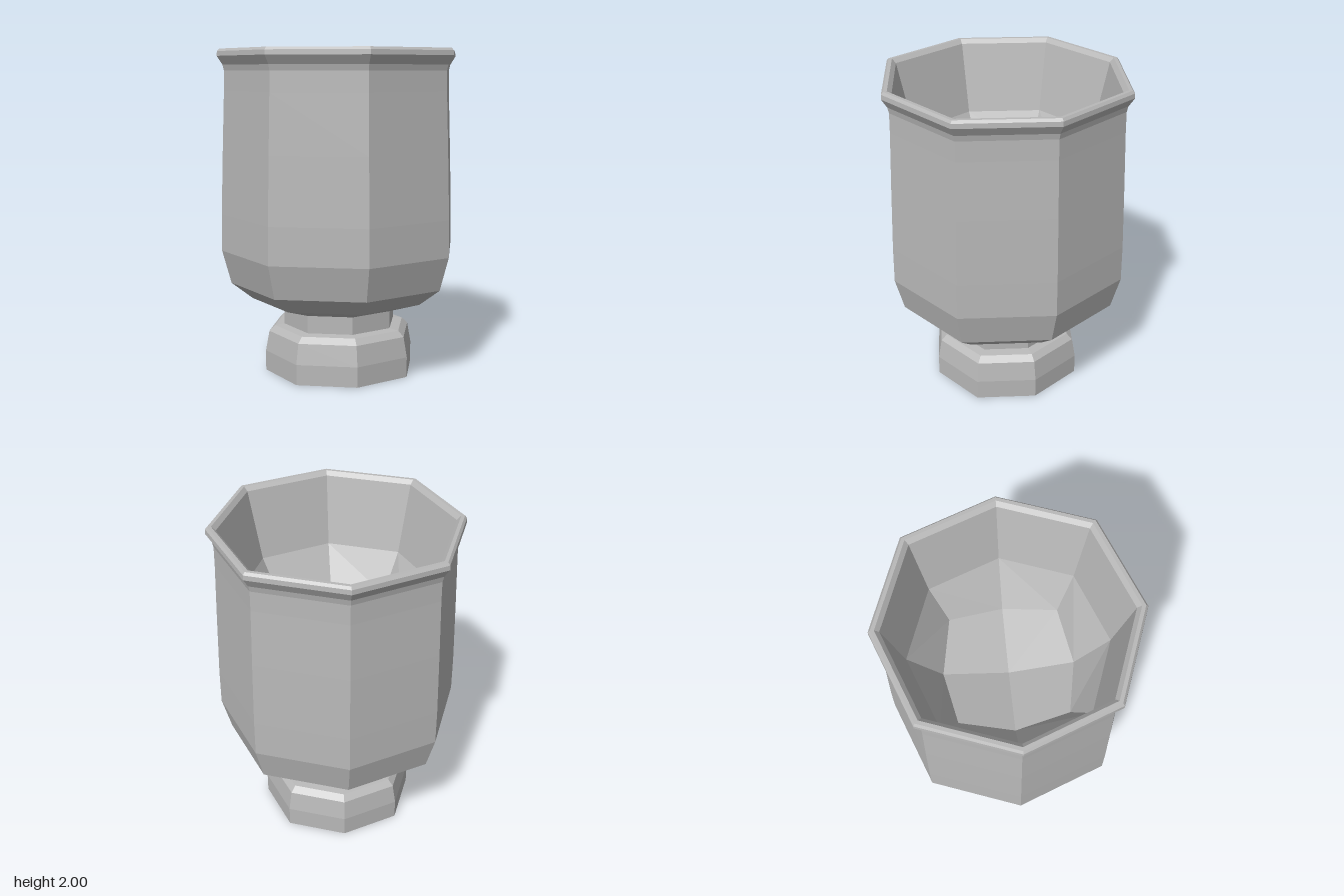
import * as THREE from 'three';

const SIDES = 8;
const DIAGONAL = 0.727 * Math.SQRT2; // diagonal corners sit slightly further out

const stone = new THREE.MeshStandardMaterial({ color: 0xb8b8b8, side: THREE.DoubleSide });
stone.name = 'grey stone';

// Faceted eight-sided ring part. Each point is [radius, y], with optional
// [diagonalRadius, diagonalY] for the corners between the axes.
function facetedPart(name, profile) {
  const points = profile.map(([r, y]) => new THREE.Vector2(r, y));
  const lathe = new THREE.LatheGeometry(points, SIDES);
  const pos = lathe.attributes.position;
  for (let side = 0; side <= SIDES; side++) {
    if (side % 2 === 0) continue;
    const angle = (side / SIDES) * Math.PI * 2;
    profile.forEach(([r, y, diagR = r * DIAGONAL, diagY = y], i) => {
      pos.setXYZ(side * profile.length + i, Math.sin(angle) * diagR, diagY, Math.cos(angle) * diagR);
    });
  }
  const geometry = lathe.toNonIndexed();
  geometry.computeVertexNormals();
  const mesh = new THREE.Mesh(geometry, stone);
  mesh.name = name;
  return mesh;
}

export function createModel() {
  const model = new THREE.Group();
  model.name = 'goblet';

  // Hollow foot, open underneath
  model.add(facetedPart('foot', [
    [0.475, 0], [0.475, 0.125], [0.452, 0.25], [0.415, 0.285], [0.355, 0.292],
  ]));

  // Short neck
  model.add(facetedPart('neck', [[0.355, 0.292], [0.355, 0.4]]));

  // Outer wall of the cup
  model.add(facetedPart('cupWall', [
    [0.355, 0.4], [0.555, 0.467], [0.685, 0.57], [0.74, 0.775],
    [0.738, 1.0], [0.725, 1.4], [0.712, 1.75], [0.71, 1.87],
  ]));

  // Flared rim with a bevelled lip
  model.add(facetedPart('rim', [
    [0.71, 1.87], [0.718, 1.905], [0.752, 1.957], [0.75, 1.985],
    [0.737, 2.0], [0.715, 2.0], [0.69, 1.975],
  ]));

  // Tapered inner wall and shallow sloping floor
  model.add(facetedPart('cupInterior', [
    [0.69, 1.975], [0.59, 1.55], [0.395, 1.25, 0.467, 1.3], [0, 1.175],
  ]));

  return model;
}
